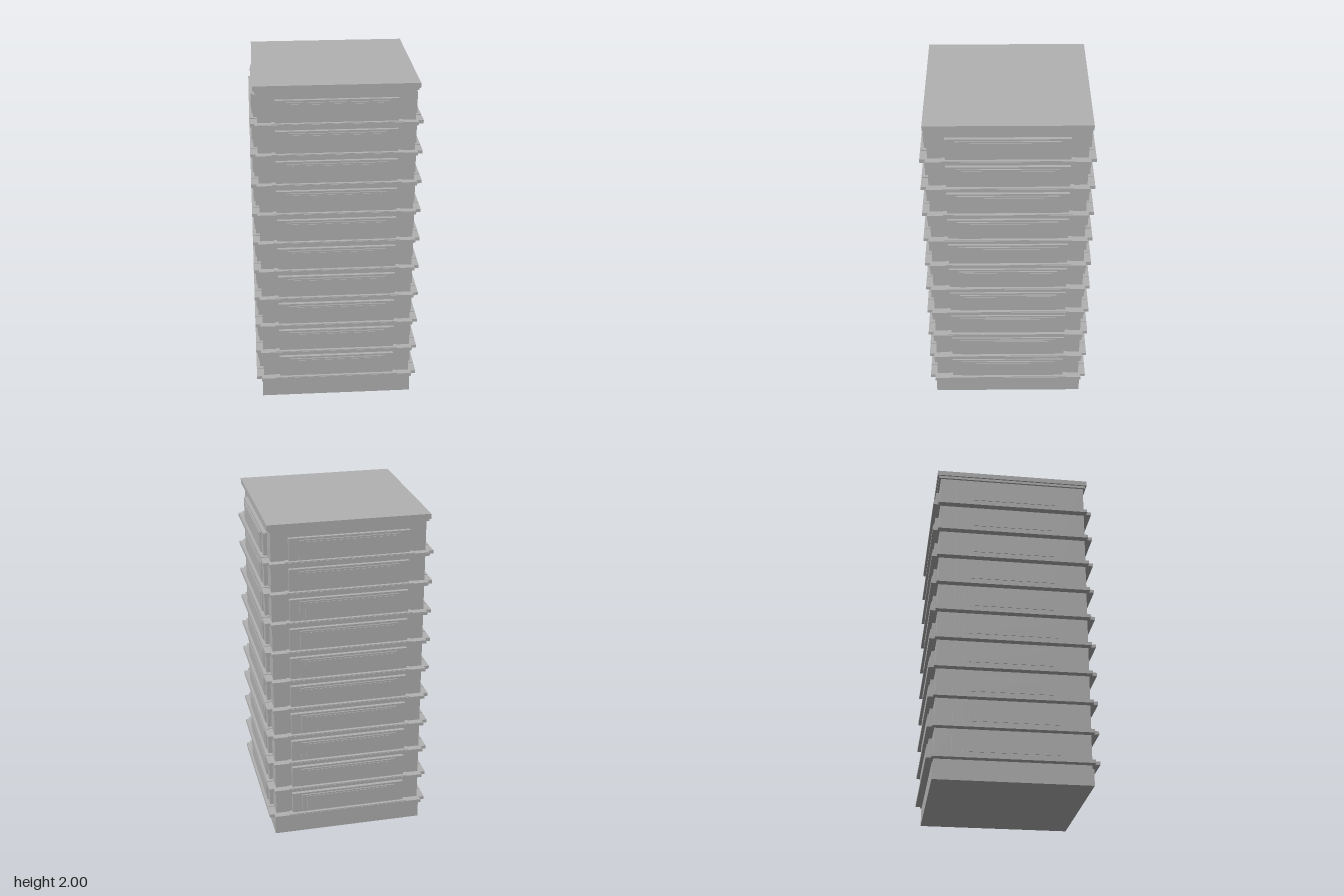
import * as THREE from 'three';

const stone = new THREE.MeshStandardMaterial({ color: 0xb2b2b2 });
stone.name = 'pale grey stone';

// Box spanning y0..y1, centred on the vertical axis
function slab(name, width, y0, y1, depth = width) {
  const mesh = new THREE.Mesh(new THREE.BoxGeometry(width, y1 - y0, depth), stone);
  mesh.name = name;
  mesh.position.y = (y0 + y1) / 2;
  return mesh;
}

// Box standing out from the +z wall as far as z = front
function wallPlate(name, width, y0, y1, front, back = 0.44) {
  const mesh = slab(name, width, y0, y1, front - back);
  mesh.position.z = (front + back) / 2;
  return mesh;
}

// Ledge outline: a square with a small notch at each corner
function ledgeGeometry(height) {
  const a = 0.49, b = 0.46;
  const points = [
    [a, -b], [a, b], [b, b], [b, a], [-b, a], [-b, b],
    [-a, b], [-a, -b], [-b, -b], [-b, -a], [b, -a], [b, -b],
  ].map(([x, y]) => new THREE.Vector2(x, y));
  const geometry = new THREE.ExtrudeGeometry(new THREE.Shape(points), { depth: height, bevelEnabled: false });
  return geometry.rotateX(-Math.PI / 2);
}

export function createModel() {
  const tower = new THREE.Group();
  tower.name = 'tower';

  // Plinth, main shaft and two-step roof
  tower.add(
    slab('plinth', 0.91, 0, 0.1),
    slab('shaft', 0.894, 0.1, 1.955),
    slab('roofMoulding', 0.918, 1.955, 1.97),
    slab('roofSlab', 0.936, 1.97, 2),
  );

  // Ten storeys, each with a ledge and a stepped bay on every side
  const ledgeShape = ledgeGeometry(0.02);
  for (let floor = 0; floor < 10; floor++) {
    const storey = new THREE.Group();
    storey.name = 'storey';
    storey.position.y = 0.122 + floor * 0.182;

    const ledge = new THREE.Mesh(ledgeShape, stone);
    ledge.name = 'ledge';
    storey.add(ledge);

    for (let side = 0; side < 4; side++) {
      const bay = new THREE.Group();
      bay.name = 'bay';
      bay.rotation.y = side * Math.PI / 2;
      bay.add(
        wallPlate('sill', 0.74, 0.015, 0.024, 0.487),
        wallPlate('bayPanel', 0.696, 0.02, 0.155, 0.469),
        wallPlate('windowSurround', 0.58, 0.028, 0.143, 0.476, 0.46),
        wallPlate('windowPane', 0.52, 0.038, 0.133, 0.479, 0.471),
      );
      storey.add(bay);
    }
    tower.add(storey);
  }
  return tower;
}
